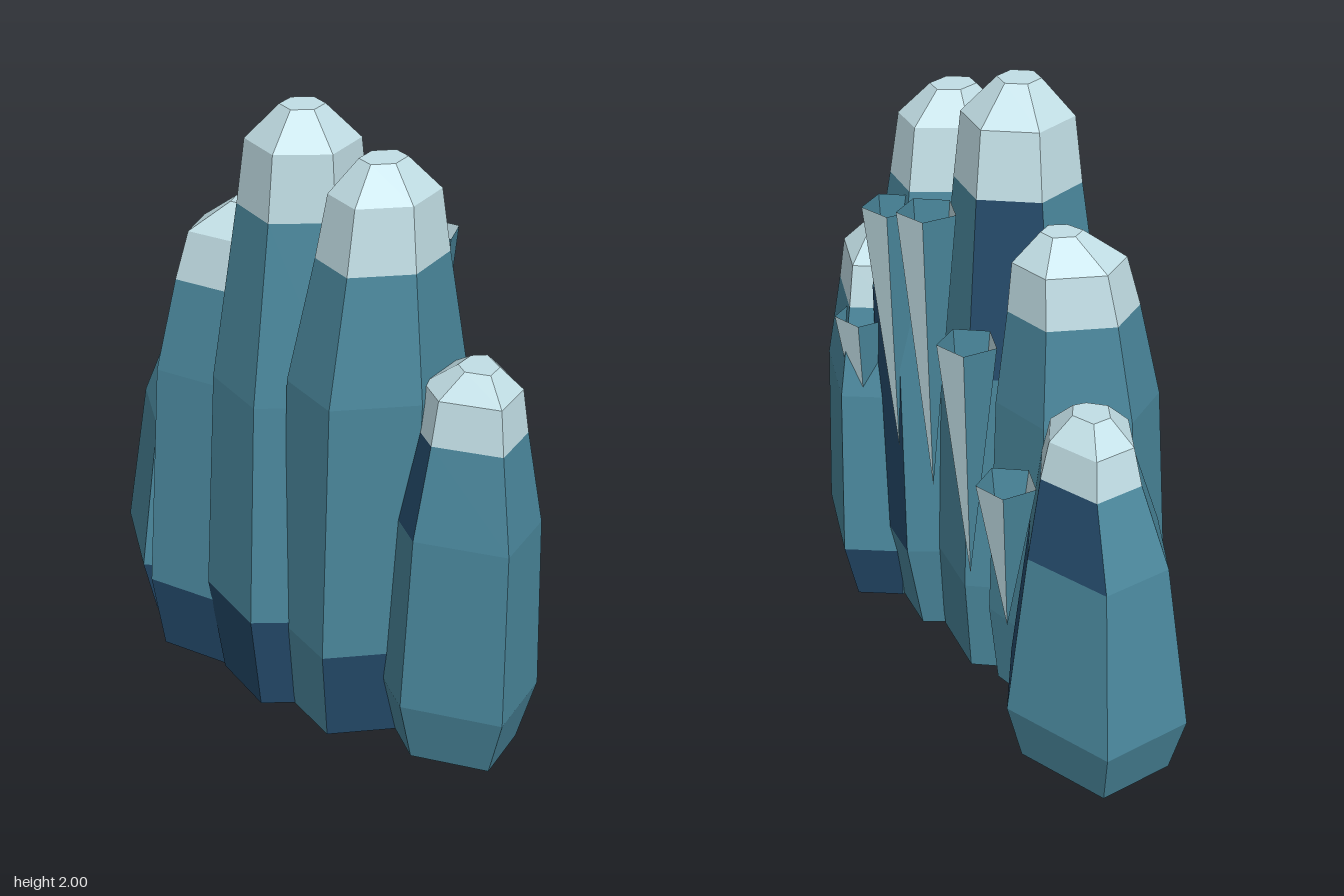
import * as THREE from 'three';

const mat = (name, color, side = THREE.FrontSide) =>
  Object.assign(new THREE.MeshStandardMaterial({ color, side }), { name });

// Collects flat faces per material, then makes one grouped geometry
class Facets {
  constructor(count) { this.lists = Array.from({ length: count }, () => []); }
  tri(m, ...pts) { for (const p of pts) this.lists[m].push(...p); }
  quad(m, a, b, c, d) { this.tri(m, a, b, c); this.tri(m, a, c, d); }
  build() {
    const geo = new THREE.BufferGeometry();
    let start = 0;
    this.lists.forEach((l, m) => { geo.addGroup(start, l.length / 3, m); start += l.length / 3; });
    geo.setAttribute('position', new THREE.Float32BufferAttribute(this.lists.flat(), 3));
    geo.computeVertexNormals();
    return geo;
  }
}

const TEAL = 0, NAVY = 1, PALE = 2;

// Corner offsets of a polygon, by rising angle from +x to +z
const polygon = (n, phase, rx, rz) => Array.from({ length: n }, (_, i) => {
  const a = (phase + i * 360 / n) * Math.PI / 180;
  return [rx * Math.cos(a), rz * Math.sin(a)];
});

// Faceted column: levels are [y, centre x, centre z, scale]; navy lists 'band-face' keys
function column({ corners, levels, navy }) {
  const f = new Facets(3);
  const rings = levels.map(([y, cx, cz, s]) => corners.map(([x, z]) => [cx + x * s, y, cz + z * s]));
  const n = corners.length, last = rings.length - 1;
  for (let i = 0; i < n; i++) {
    const k = (i + 1) % n;
    for (let j = 0; j < last; j++) {
      const m = j >= 3 ? PALE : navy.includes(`${j}-${i}`) ? NAVY : TEAL;
      f.quad(m, rings[j][i], rings[j + 1][i], rings[j + 1][k], rings[j][k]);
    }
    const [yb, xb, zb] = levels[0], [yt, xt, zt] = levels[last];
    f.tri(NAVY, [xb, yb, zb], rings[0][i], rings[0][k]);
    f.tri(PALE, [xt, yt, zt], rings[last][k], rings[last][i]);
  }
  return f.build();
}

// Hollow hanging spike, open at the top, with walls of alternating colour
function spike(x, top, length) {
  const f = new Facets(3), z = -0.265;
  const rim = polygon(5, 0, 0.095, 0.095).map(([dx, dz]) => [x + dx, top, z + dz]);
  rim.forEach((a, i) => f.tri(i % 2 ? PALE : TEAL, [x, top - length, z], a, rim[(i + 1) % 5]));
  return f.build();
}

const columns = {
  farRightColumn: {
    corners: [[0.24, 0.06], [0.01, 0.3], [-0.32, 0.14], [-0.36, -0.17], [0.01, -0.31], [0.27, -0.15]],
    levels: [[0, -0.57, 0, 0.83], [0.2, -0.57, 0, 1], [0.73, -0.56, 0, 0.76],
      [0.98, -0.53, -0.01, 0.54], [1.1, -0.53, -0.01, 0.45], [1.17, -0.53, -0.01, 0.2]],
    navy: ['0-0', '1-4', '2-3'],
  },
  rightColumn: {
    corners: [[0.15, 0.19], [-0.11, 0.29], [-0.25, 0.09], [-0.14, -0.2], [0.11, -0.25], [0.25, -0.04]],
    levels: [[0, -0.27, 0.09, 0.88], [0.27, -0.26, 0.1, 1], [1.05, -0.26, 0.09, 0.88],
      [1.36, -0.25, 0.08, 0.7], [1.52, -0.24, 0.07, 0.6], [1.61, -0.22, 0.06, 0.22]],
    navy: ['0-0', '0-1'],
  },
  middleColumn: {
    corners: polygon(6, 7, 0.29, 0.3),
    levels: [[0, 0.025, 0.06, 0.86], [0.34, 0.025, 0.07, 1], [1.1, 0.03, 0.07, 0.9],
      [1.68, 0.04, 0.06, 0.67], [1.89, 0.05, 0.065, 0.59], [2, 0.06, 0.075, 0.23]],
    navy: ['0-0', '0-1', '2-3'],
  },
  leftColumn: {
    corners: polygon(6, 5, 0.26, 0.32),
    levels: [[0, 0.305, 0.01, 0.76], [0.32, 0.31, 0, 0.93], [1.2, 0.335, 0, 0.92],
      [1.6, 0.35, 0, 0.67], [1.8, 0.355, 0, 0.56], [1.9, 0.345, 0, 0.24]],
    navy: ['0-0', '1-4'],
  },
  farLeftColumn: {
    corners: [[0.28, 0.09], [0.01, 0.27], [-0.2, 0.19], [-0.29, -0.1], [-0.18, -0.27], [0.17, -0.16]],
    levels: [[0, 0.63, -0.12, 0.78], [0.22, 0.64, -0.12, 1], [0.81, 0.65, -0.12, 0.9],
      [1.11, 0.65, -0.12, 0.67], [1.25, 0.65, -0.12, 0.58], [1.32, 0.66, -0.12, 0.24]],
    navy: ['0-3', '0-4', '2-1'],
  },
};

export function createModel() {
  const model = new THREE.Group();
  model.name = 'crystalColumns';
  const materials = [
    mat('teal rock', 0x4a879c, THREE.DoubleSide),
    mat('navy rock', 0x244a6a),
    mat('pale ice', 0xc2dfe6, THREE.DoubleSide),
  ];
  const add = (name, geo) => {
    const mesh = new THREE.Mesh(geo, materials);
    mesh.name = name;
    model.add(mesh);
  };

  // Five standing columns with pale tips
  for (const [name, spec] of Object.entries(columns)) add(name, column(spec));

  // Row of hanging spikes along the back: x, top, length
  [[-0.48, 0.97, 0.52], [-0.24, 1.33, 0.83], [0.01, 1.66, 0.97], [0.255, 1.58, 0.87], [0.5, 1.09, 0.6]]
    .forEach(([x, top, length], i) => add(`hangingSpike${i + 1}`, spike(x, top, length)));

  return model;
}
